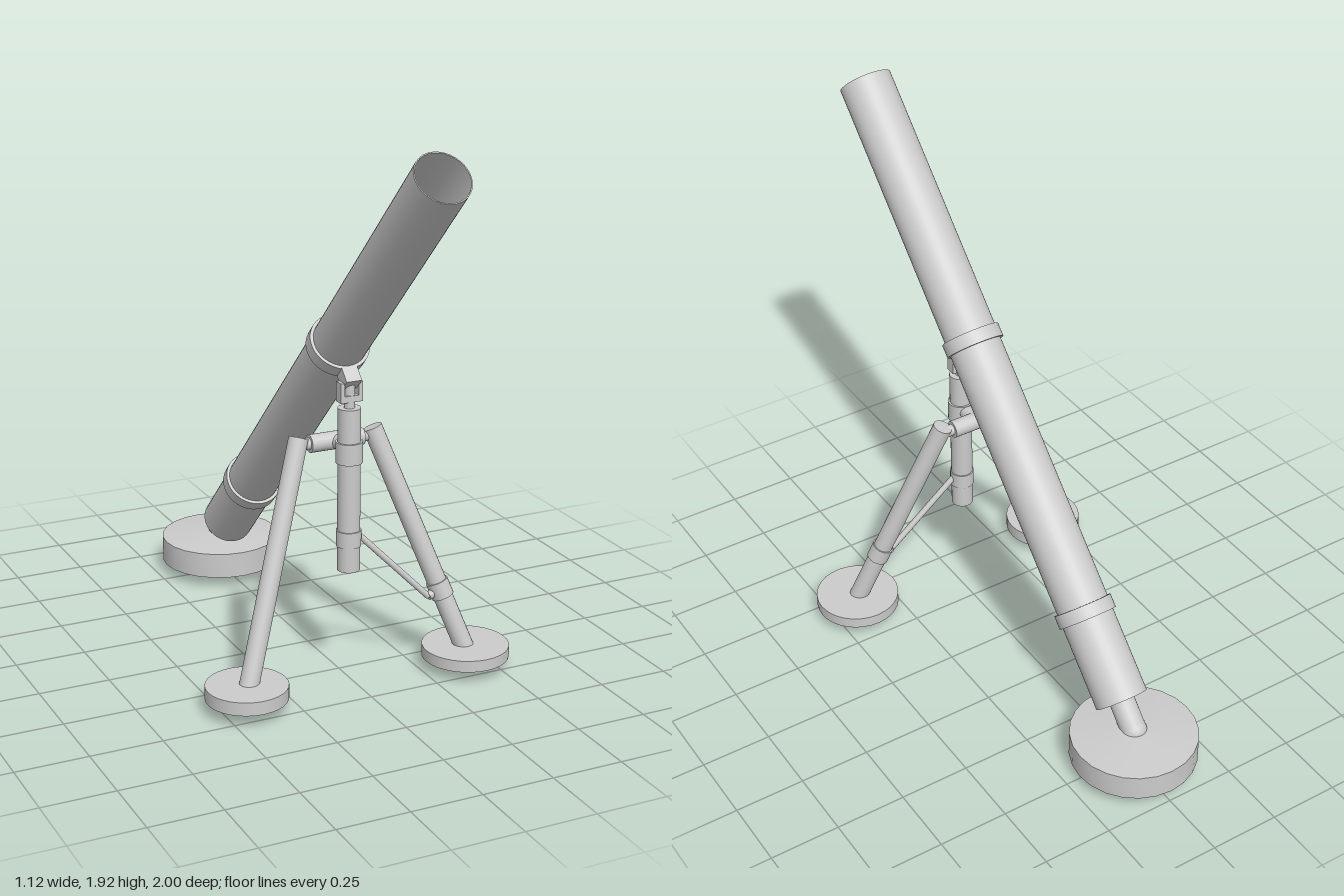
import * as THREE from 'three';
import { toCreasedNormals } from 'three/addons/utils/BufferGeometryUtils.js';

const material = new THREE.MeshStandardMaterial({ color: 0xcccccc, side: THREE.DoubleSide });
const V = (x, y, z) => new THREE.Vector3(x, y, z);
const UP = V(0, 1, 0);
const CX = -0.005; // centre line of barrel and post

export function createModel() {
  const model = new THREE.Group();

  const add = (name, geometry, position) => {
    const mesh = new THREE.Mesh(geometry, material);
    mesh.name = name;
    mesh.position.copy(position);
    model.add(mesh);
    return mesh;
  };
  // Cylinder between two points
  const rod = (name, a, b, r, segments = 20) => {
    const mid = a.clone().add(b).multiplyScalar(0.5);
    const mesh = add(name, new THREE.CylinderGeometry(r, r, a.distanceTo(b), segments), mid);
    mesh.quaternion.setFromUnitVectors(UP, b.clone().sub(a).normalize());
    return mesh;
  };
  // Turned shape with crisp corners
  const turned = (profile, segments = 24) => toCreasedNormals(
    new THREE.LatheGeometry(profile.map(([r, y]) => new THREE.Vector2(r, y)), segments), 0.6);

  // Barrel: hollow tube leaning forward at 45 degrees
  const breech = V(CX, 0.222, -0.698);
  const axis = V(0, 1, 1).normalize();
  const length = 2.307;
  const barrel = add('barrel', turned([
    [0, 0], [0.093, 0], [0.093, length], [0.089, length], [0.089, 0.1], [0, 0.1],
  ], 32), breech);
  barrel.quaternion.setFromUnitVectors(UP, axis);

  // Clamping bands around the barrel
  const bandProfile = [[0.091, -0.024], [0.104, -0.024], [0.104, 0.024], [0.091, 0.024], [0.091, -0.024]];
  for (const [name, z] of [['lowerBand', -0.469], ['upperBand', 0.242]]) {
    const band = add(name, turned(bandProfile, 32), V(CX, z + 0.92, z));
    band.quaternion.setFromUnitVectors(UP, axis);
  }

  // Breech neck and ball resting in the base plate
  const ball = V(CX, 0.142, -0.775);
  rod('breechNeck', ball, breech, 0.045);
  add('breechBall', new THREE.SphereGeometry(0.046, 20, 14), ball);

  // Base plate: drum with a shallow domed top and a ground spike below
  add('basePlate', turned([
    [0, 0], [0.15, 0.043], [0.2, 0.05], [0.222, 0.043], [0.222, 0.137], [0.06, 0.152], [0, 0.154],
  ]), V(CX, 0, -0.777));

  // Elevating post with collars
  const PZ = 0.33;
  const postPart = (name, y0, y1, r) => rod(name, V(CX, y0, PZ), V(CX, y1, PZ), r);
  postPart('post', 0.4, 0.972, 0.039);
  postPart('upperCollar', 0.782, 0.855, 0.046);
  postPart('lowerCollar', 0.487, 0.543, 0.043);
  postPart('postSpindle', 0.96, 1.06, 0.018);

  // Fork and bracket joining the post to the upper band
  add('forkBase', new THREE.BoxGeometry(0.08, 0.022, 0.037), V(CX, 1.005, PZ));
  for (const s of [-1, 1]) {
    add('forkCheek', new THREE.BoxGeometry(0.014, 0.055, 0.037), V(CX + s * 0.033, 1.035, PZ));
  }
  const bracket = add('barrelBracket', new THREE.BoxGeometry(0.056, 0.05, 0.09), V(CX, 1.086, 0.317));
  bracket.rotation.x = Math.PI / 4;

  // Cross bar behind the post, carrying the legs
  const BY = 0.828, BZ = 0.228;
  rod('crossBar', V(CX - 0.098, BY, BZ), V(CX + 0.098, BY, BZ), 0.031);
  rod('crossBarPin', V(CX - 0.13, BY, BZ), V(CX + 0.13, BY, BZ), 0.02);
  rod('crossBarLink', V(CX, BY, BZ), V(CX, BY, PZ), 0.026);

  // Splayed legs with round foot pads
  const legTop = (s) => V(CX + s * 0.137, 0.855, 0.228);
  const legFoot = (s) => V(CX + s * 0.408, 0.07, 0.412);
  for (const [side, s, padR, y0, y1] of [['left', 1, 0.151, 0.042, 0.083], ['right', -1, 0.14, 0.047, 0.094]]) {
    rod(side + 'Leg', legFoot(s), legTop(s), 0.034);
    const x = s > 0 ? 0.406 : -0.418;
    rod(side + 'FootPad', V(x, y0, 0.414), V(x, y1, 0.414), padR, 32);
  }

  // Collar on the left leg and the thin brace up to the post
  const onLeg = (t) => legFoot(1).lerp(legTop(1), t);
  rod('legCollar', onLeg(0.235), onLeg(0.305), 0.039);
  const braceLow = V(0.28, 0.265, 0.372);
  rod('legBrace', V(0.03, 0.52, 0.332), braceLow, 0.011, 12);
  rod('braceLug', braceLow, onLeg(0.27), 0.015, 12);

  return model;
}
